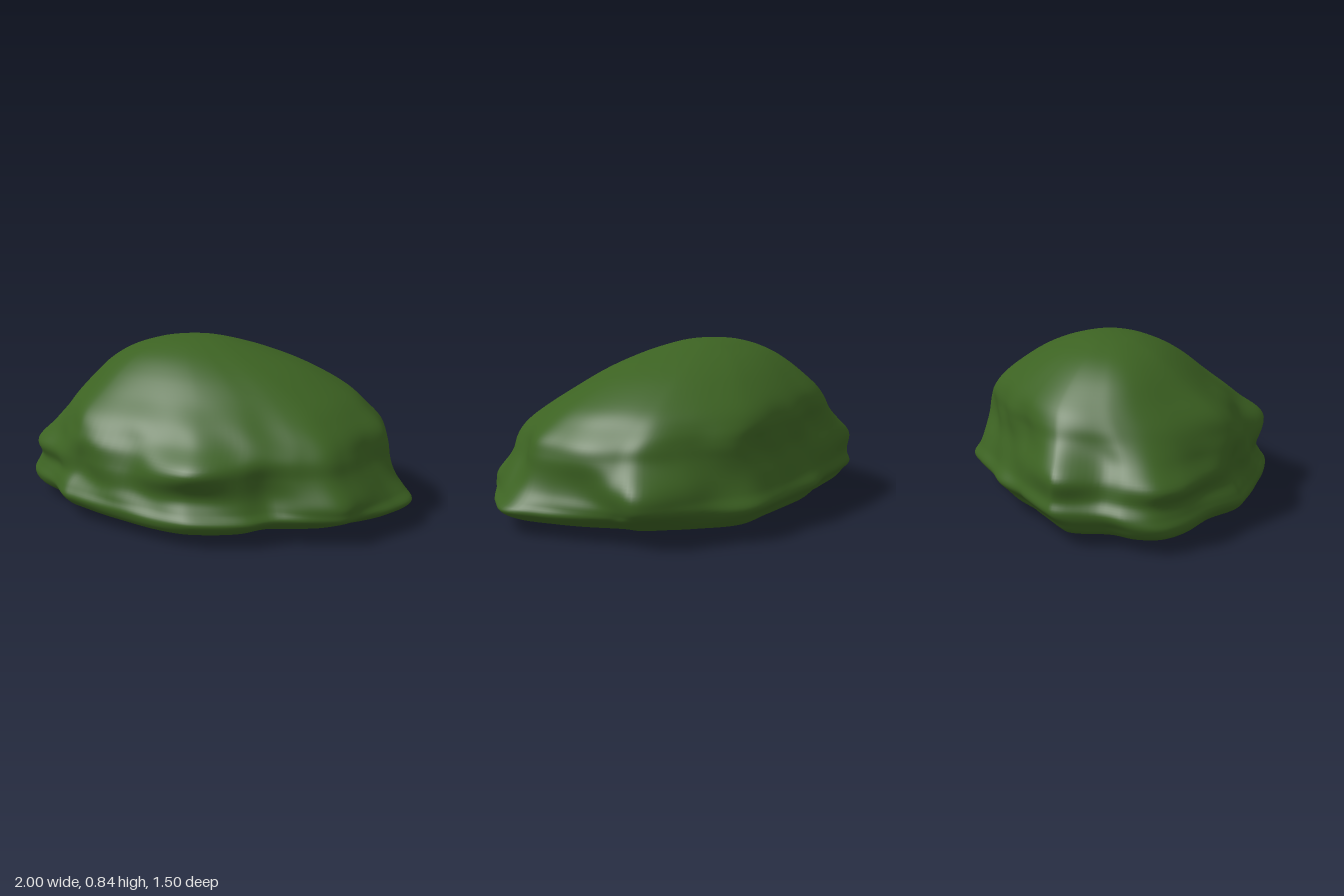
import * as THREE from 'three';

// Ground outline seen from above: x, z pairs
const OUTLINE = [
  [1, 0.08], [0.95, 0.25], [0.9, 0.35], [0.83, 0.45], [0.75, 0.55], [0.6, 0.59], [0.43, 0.61],
  [0.3, 0.69], [0.1, 0.745], [-0.02, 0.745], [-0.17, 0.7], [-0.35, 0.62], [-0.6, 0.52], [-0.7, 0.46],
  [-0.8, 0.3], [-0.93, 0.16], [-1, 0.03], [-0.98, -0.1], [-0.9, -0.22], [-0.87, -0.4], [-0.8, -0.46],
  [-0.6, -0.53], [-0.5, -0.56], [-0.35, -0.63], [-0.2, -0.67], [0, -0.715], [0.2, -0.755], [0.4, -0.68],
  [0.55, -0.63], [0.73, -0.54], [0.78, -0.42], [0.83, -0.3], [0.92, -0.1],
];

// Extents of each level: y, min x, max x, min z, max z
const LEVELS = [
  [0, 0, 0, 0, 0], [0.003, -0.3, 0.3, -0.22, 0.22], [0.01, -0.55, 0.55, -0.4, 0.42],
  [0.03, -0.82, 0.78, -0.56, 0.6], [0.06, -0.96, 0.92, -0.65, 0.71], [0.11, -1, 1, -0.71, 0.75],
  [0.16, -0.99, 0.96, -0.75, 0.72], [0.22, -0.95, 0.92, -0.72, 0.69], [0.3, -0.93, 0.89, -0.69, 0.68],
  [0.38, -0.87, 0.87, -0.66, 0.66], [0.45, -0.82, 0.84, -0.64, 0.6], [0.52, -0.77, 0.76, -0.62, 0.53],
  [0.6, -0.7, 0.65, -0.57, 0.43], [0.7, -0.6, 0.45, -0.46, 0.31], [0.77, -0.49, 0.25, -0.35, 0.2],
  [0.815, -0.36, 0.08, -0.24, 0.09], [0.835, -0.24, -0.03, -0.16, 0], [0.842, -0.13, -0.13, -0.08, -0.08],
];

// Swellings and hollows: angle from +x towards +z (degrees), height, angular width, height width, depth
const LUMPS = [
  [85, 0.34, 15, 0.08, 0.075], [168, 0.27, 13, 0.06, 0.055], [-12, 0.37, 13, 0.1, 0.04],
  [-75, 0.52, 25, 0.12, 0.025], [145, 0.5, 16, 0.14, 0.05], [143, 0.28, 8, 0.1, -0.035],
  [125, 0.24, 12, 0.1, 0.025], [150, 0.05, 18, 0.06, -0.05],
  [36, 0.2, 16, 0.07, 0.035], [36, 0.05, 20, 0.07, -0.1], [14, 0.38, 12, 0.13, -0.05],
  [-36, 0.26, 15, 0.1, 0.07], [-36, 0.07, 17, 0.08, -0.1], [-100, 0.34, 12, 0.08, -0.015],
  [-150, 0.33, 15, 0.1, 0.06], [-150, 0.55, 18, 0.12, 0.035], [-150, 0.1, 14, 0.07, -0.025],
];

function lumpAt(angle, y) {
  let sum = 0;
  for (const [deg, ly, wa, wy, depth] of LUMPS) {
    let d = angle * 180 / Math.PI - deg;
    d -= 360 * Math.round(d / 360);
    sum += depth * Math.exp(-((d / wa) ** 2) - ((y - ly) / wy) ** 2);
  }
  // Gentle waviness around the flanks, and a flat underside
  const fade = THREE.MathUtils.smoothstep(y, 0.08, 0.2) * (1 - THREE.MathUtils.smoothstep(y, 0.4, 0.65));
  const wave = 0.005 * (Math.sin(9 * angle + 14 * y) + Math.sin(14 * angle - 17 * y + 1));
  return sum * THREE.MathUtils.smoothstep(y, 0, 0.05) + fade * wave;
}

function moundGeometry(around = 192, up = 96) {
  const v3 = (a, b, c) => new THREE.Vector3(a, b, c);
  const spline = (pts, closed) => new THREE.CatmullRomCurve3(pts, closed, 'catmullrom', 0.5);
  const outline = spline(OUTLINE.map(([x, z]) => v3(x, 0, z)), true);
  const xSpan = spline(LEVELS.map((l) => v3(l[0], l[1], l[2])), false);
  const zSpan = spline(LEVELS.map((l) => v3(l[0], l[3], l[4])), false);
  const positions = [];
  const indices = [];

  for (let i = 0; i <= up; i++) {
    const sx = xSpan.getPoint(i / up);
    const sz = zSpan.getPoint(i / up);
    const y = Math.max(0, sx.x);
    // The lobed outline softens into an oval towards the crown
    const soften = 0.85 * THREE.MathUtils.smoothstep(y, 0.2, 0.65);
    for (let j = 0; j < around; j++) {
      const p = outline.getPoint(j / around);
      const nx = p.x, nz = p.z / 0.75;
      const length = Math.hypot(nx, nz);
      const k = THREE.MathUtils.lerp(1, 1 / length, soften);
      const angle = Math.atan2(p.z, p.x);
      const push = lumpAt(angle, y);
      positions.push(
        (sx.y + sx.z) / 2 + nx * k * (sx.z - sx.y) / 2 + Math.cos(angle) * push,
        y,
        (sz.y + sz.z) / 2 + nz * k * (sz.z - sz.y) / 2 + Math.sin(angle) * push,
      );
      if (i < up) {
        const a = i * around + j, b = i * around + (j + 1) % around;
        indices.push(a, a + around, b, b, a + around, b + around);
      }
    }
  }
  const geometry = new THREE.BufferGeometry();
  geometry.setAttribute('position', new THREE.Float32BufferAttribute(positions, 3));
  geometry.setIndex(indices);
  geometry.computeVertexNormals();
  return geometry;
}

export function createModel() {
  const group = new THREE.Group();
  group.name = 'bush';
  const leafGreen = new THREE.MeshStandardMaterial({ color: 0x3c6222 });
  leafGreen.name = 'leafGreen';
  const mound = new THREE.Mesh(moundGeometry(), leafGreen);
  mound.name = 'leafyMound';
  group.add(mound);
  return group;
}
